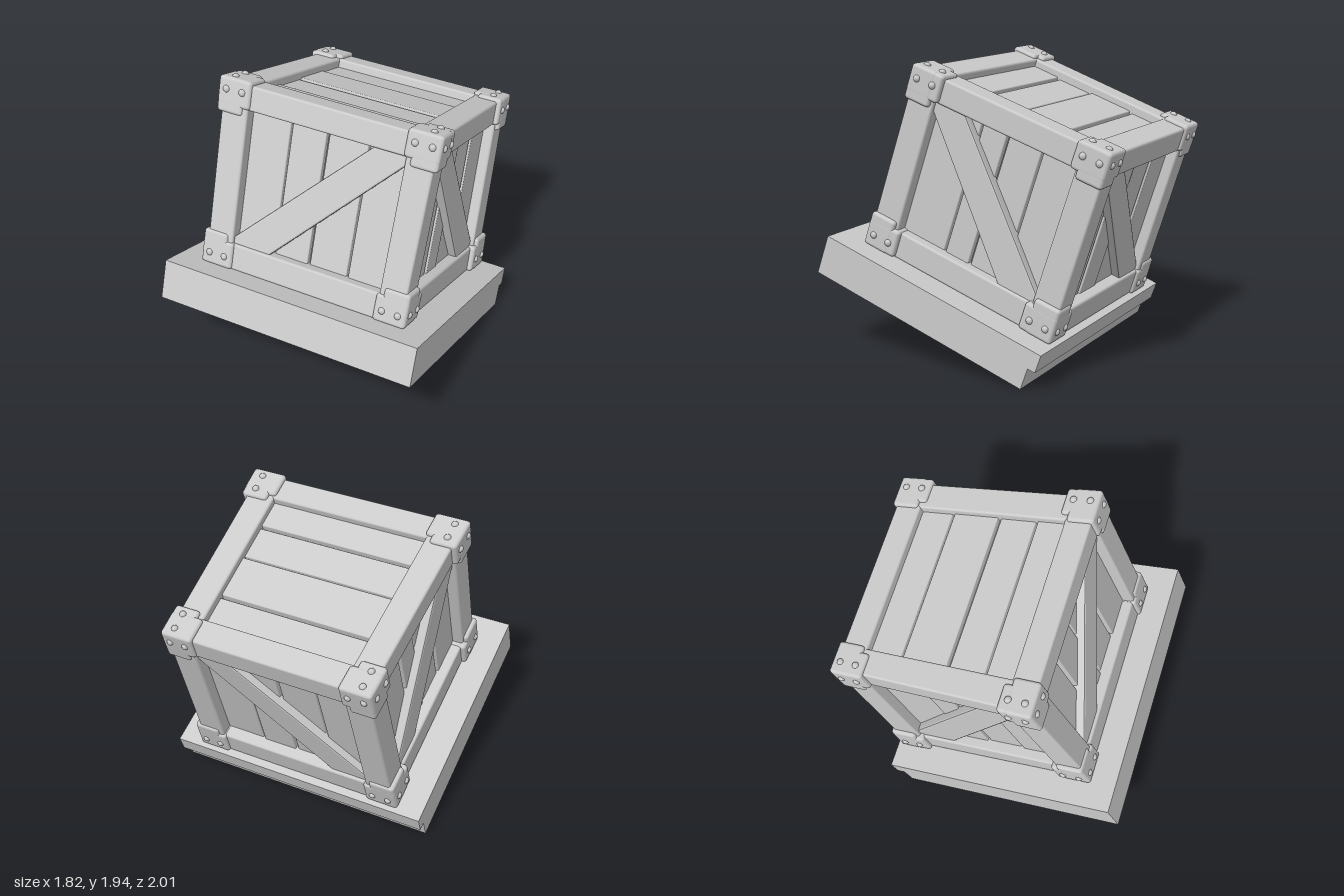
import * as THREE from 'three';
import { mergeGeometries } from 'three/addons/utils/BufferGeometryUtils.js';
import { RoundedBoxGeometry } from 'three/addons/geometries/RoundedBoxGeometry.js';

const material = new THREE.MeshStandardMaterial({ color: 0xcccccc });
const BOTTOM = 0.44, TOP = 1.72, MID = 0.235; // crate height range and depth centre
const lerp = THREE.MathUtils.lerp;

function roundBox(w, h, d, x, y, z, r = 0.016) {
  return new RoundedBoxGeometry(w, h, d, 2, r).translate(x, y, z);
}

// The crate bulges at the top front and narrows at the top back
function warp(geo) {
  const p = geo.attributes.position;
  for (let i = 0; i < p.count; i++) {
    const t = (p.getY(i) - BOTTOM) / (TOP - BOTTOM);
    const f = p.getZ(i) / 1.44 + 0.5;
    const s = lerp(0.96, lerp(0.925, 1, f), t);
    p.setX(i, p.getX(i) * s);
    p.setZ(i, p.getZ(i) + (1 - f) * (t - 0.5) * 0.04);
  }
  return geo;
}

function add(parent, name, geo) {
  const mesh = new THREE.Mesh(geo, material);
  mesh.name = name;
  parent.add(mesh);
  return mesh;
}

// Vertical planks and a diagonal brace for one side wall, in the wall's own plane
function addWall(crate, name, angle, half, depth, edges, dir) {
  const place = (geo) => warp(geo.rotateY(angle));
  for (let i = 0; i < edges.length - 1; i++) {
    const w = edges[i + 1] - edges[i] - 0.016;
    const x = (edges[i] + edges[i + 1]) / 2;
    const lift = (i % 2) * 0.008;
    add(crate, name + 'Plank', place(roundBox(w, 1.0, 0.05, x, 1.07, depth - 0.105 + lift, 0.008)));
  }
  const b = 0.60, t = 1.545;
  const pts = [[-half, b], [-half + 0.27, b], [half, t - 0.07], [half, t], [half - 0.22, t], [-half, b + 0.06]];
  const outline = pts.map(([x, y]) => new THREE.Vector2(x * dir, y));
  const brace = new THREE.ExtrudeGeometry(new THREE.Shape(outline), {
    depth: 0.06, bevelThickness: 0.014, bevelSize: 0.012, bevelOffset: -0.012, bevelSegments: 2,
  }).translate(0, 0, depth - 0.095);
  add(crate, name + 'Brace', place(brace));
}

// Three-legged corner cap with rivets
function addBracket(crate, sx, sy, sz) {
  const cx = 0.775, cz = 0.72, cy = sy > 0 ? TOP : BOTTOM;
  const long = 0.235, wide = 0.185, parts = [];
  for (let axis = 0; axis < 3; axis++) {
    const s = [wide, wide, wide];
    s[axis] = long;
    // tiny insets keep the overlapping faces apart
    const e = axis * 0.001;
    parts.push(roundBox(...s, sx * (cx - e - s[0] / 2), cy - sy * (e + s[1] / 2), sz * (cz - e - s[2] / 2), 0.022));
  }
  add(crate, 'cornerBracket', warp(mergeGeometries(parts)));
  const rivets = [];
  const rivet = (x, y, z) => {
    rivets.push(new THREE.SphereGeometry(0.025, 12, 8).translate(sx * (cx - x), cy - sy * y, sz * (cz - z)));
  };
  for (const d of [0.06, 0.175]) {
    rivet(d, 0.08, 0.008);
    rivet(0.008, 0.085, d);
    if (sy > 0) rivet(0.085, 0.008, d);
  }
  add(crate, 'rivets', warp(mergeGeometries(rivets)));
}

function buildCrate() {
  const crate = new THREE.Group();
  crate.name = 'crate';
  crate.position.z = MID;

  // Dark core closing the gaps between planks
  add(crate, 'core', warp(new THREE.BoxGeometry(1.22, 1.14, 1.14).translate(0, 1.03, 0)));

  // Frame beams along the twelve edges
  const beamY = [[0.53, 0.18], [1.613, 0.165]];
  for (const s of [-1, 1]) {
    for (const [y, h] of beamY) {
      add(crate, 'crossBeam', warp(roundBox(1.36, h, 0.18, 0, y, s * 0.61)));
      add(crate, 'sideBeam', warp(roundBox(0.19, h, 1.3, s * 0.645, y, 0)));
    }
    for (const z of [-1, 1]) {
      add(crate, 'cornerPost', warp(roundBox(0.19, 1.2, 0.19, s * 0.65, 1.07, z * 0.61)));
    }
  }

  // Walls
  const wide = [-0.58, -0.27, -0.01, 0.28, 0.58];
  const narrow = [-0.54, -0.19, 0.0, 0.25, 0.54];
  addWall(crate, 'front', 0, 0.565, 0.70, wide, 1);
  addWall(crate, 'back', Math.PI, 0.565, 0.70, wide, -1);
  addWall(crate, 'left', Math.PI / 2, 0.53, 0.74, narrow, -1);
  addWall(crate, 'right', -Math.PI / 2, 0.53, 0.74, narrow, 1);

  // Lid planks
  const lid = [-0.54, -0.29, 0.045, 0.31, 0.54];
  for (let i = 0; i < lid.length - 1; i++) {
    const d = lid[i + 1] - lid[i] - 0.018;
    const y = 1.61 + (i % 2) * 0.01;
    add(crate, 'lidPlank', warp(roundBox(1.16, 0.05, d, 0, y, (lid[i] + lid[i + 1]) / 2, 0.008)));
  }

  for (const sx of [-1, 1]) for (const sy of [-1, 1]) for (const sz of [-1, 1]) addBracket(crate, sx, sy, sz);
  return crate;
}

function buildBase() {
  const base = new THREE.Group();
  base.name = 'base';
  const block = (name, x0, x1, y0, y1, z0, z1) => add(base, name,
    new THREE.BoxGeometry(x1 - x0, y1 - y0, z1 - z0).translate((x0 + x1) / 2, (y0 + y1) / 2, (z0 + z1) / 2));
  // Upper slab overhangs the lower one at the back
  block('upperSlab', -0.91, 0.91, 0.32, 0.442, -0.535, 1.126);
  block('lowerSlab', -0.91, 0.91, 0.205, 0.32, -0.482, 1.126);
  // Underside layer split by a shallow groove
  block('undersideBack', -0.91, 0.91, 0.172, 0.205, -0.482, 0.115);
  block('undersideFront', -0.91, 0.91, 0.172, 0.205, 0.19, 1.126);
  for (const s of [-1, 1]) block('grooveEnd', s * 0.908 - 0.002, s * 0.908 + 0.002, 0.172, 0.205, 0.115, 0.19);
  // Plank poking through the underside
  add(base, 'undersidePlank', roundBox(1.08, 0.08, 0.26, 0, 0.184, 0.31, 0.014));
  return base;
}

export function createModel() {
  const model = new THREE.Group();
  model.name = 'tiltedCrate';
  const tilted = new THREE.Group();
  tilted.name = 'tiltedBody';
  tilted.rotation.x = -0.343;
  tilted.add(buildBase(), buildCrate());
  model.add(tilted);
  return model;
}
